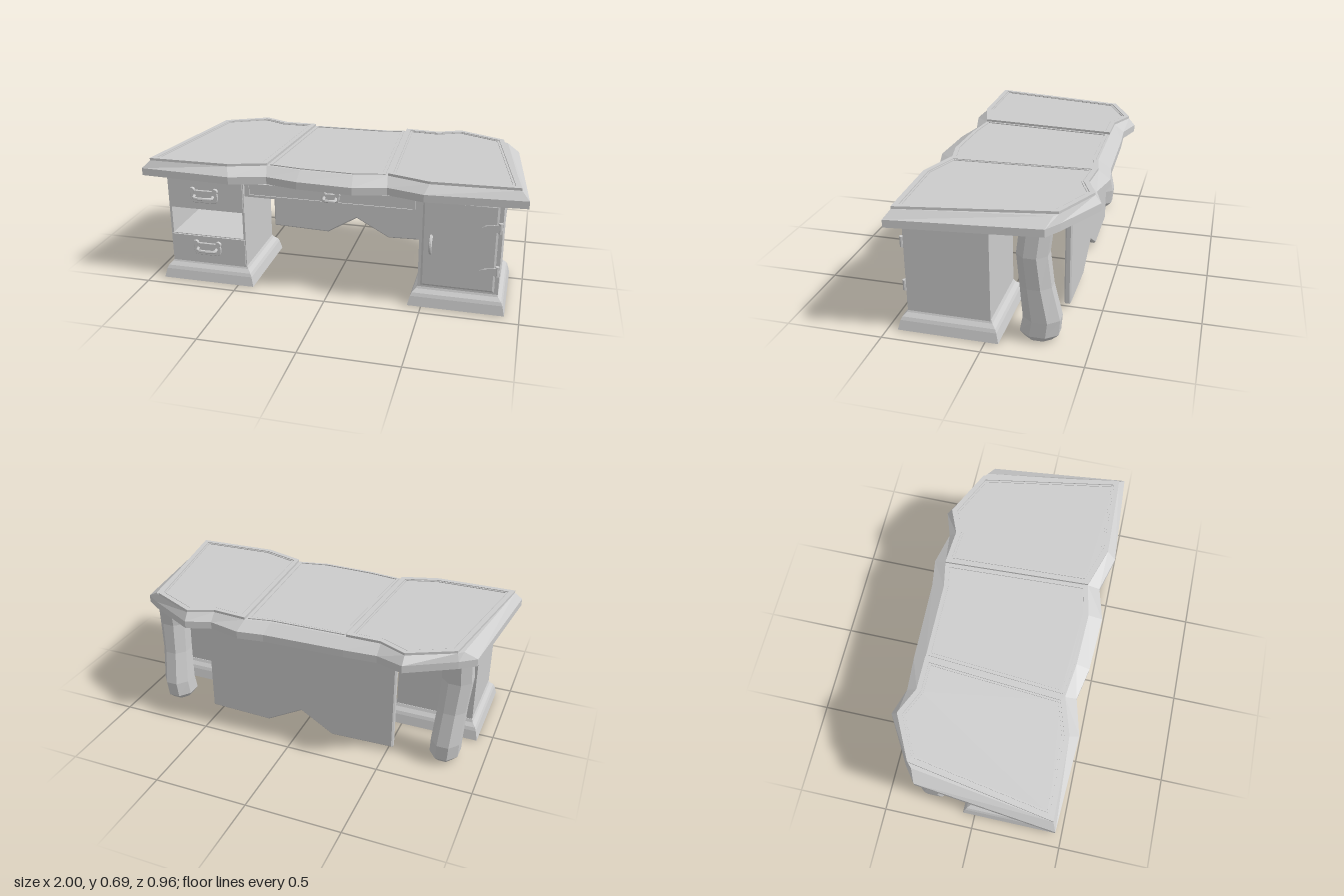
import * as THREE from 'three';

const material = new THREE.MeshStandardMaterial({ color: 0xcccccc, flatShading: true, side: THREE.DoubleSide });

function add(parent, name, geometry, x = 0, y = 0, z = 0) {
  const mesh = new THREE.Mesh(geometry, material);
  mesh.name = name;
  mesh.position.set(x, y, z);
  parent.add(mesh);
  return mesh;
}

// Box given by its limits
function block(parent, name, x0, x1, y0, y1, z0, z1) {
  return add(parent, name, new THREE.BoxGeometry(x1 - x0, y1 - y0, z1 - z0), (x0 + x1) / 2, (y0 + y1) / 2, (z0 + z1) / 2);
}

// Closed solid through horizontal rings, each { y, pts: [[x, z], ...] } counterclockwise from above
function loft(rings) {
  const pos = [];
  const put = (r, i) => { const p = r.pts[i % r.pts.length]; pos.push(p[0], r.y, p[1]); };
  for (let k = 0; k < rings.length - 1; k++) {
    const a = rings[k], b = rings[k + 1];
    for (let i = 0; i < a.pts.length; i++) {
      put(a, i); put(a, i + 1); put(b, i + 1);
      put(a, i); put(b, i + 1); put(b, i);
    }
  }
  const cap = (r, up) => {
    const contour = r.pts.map(p => new THREE.Vector2(p[0], -p[1]));
    for (const [a, b, c] of THREE.ShapeUtils.triangulateShape(contour, [])) {
      for (const i of up ? [a, b, c] : [a, c, b]) put(r, i);
    }
  };
  cap(rings[0], false);
  cap(rings[rings.length - 1], true);
  const g = new THREE.BufferGeometry();
  g.setAttribute('position', new THREE.Float32BufferAttribute(pos, 3));
  g.computeVertexNormals();
  return g;
}

const rect = (x0, x1, z0, z1, y) => ({ y, pts: [[x0, z1], [x1, z1], [x1, z0], [x0, z0]] });

// Move a plan outline inward by d
function inset(pts, d) {
  const n = pts.length, v = pts.map(p => new THREE.Vector2(p[0], -p[1]));
  const normal = i => {
    const e = v[(i + 1) % n].clone().sub(v[i]).normalize();
    return new THREE.Vector2(-e.y, e.x);
  };
  return v.map((p, i) => {
    const a = normal((i + n - 1) % n), b = normal(i);
    const q = p.clone().addScaledVector(a.clone().add(b), d / (1 + a.dot(b)));
    return [q.x, -q.y];
  });
}

// Flat horizontal piece from a plan outline, optionally with an opening
function slab(pts, hole, depth) {
  const toV = l => l.map(p => new THREE.Vector2(p[0], -p[1]));
  const shape = new THREE.Shape(toV(pts));
  if (hole) shape.holes.push(new THREE.Path(toV(hole)));
  return new THREE.ExtrudeGeometry(shape, { depth, bevelEnabled: false }).rotateX(-Math.PI / 2);
}

const tube = (pts, r, n = 14) =>
  new THREE.TubeGeometry(new THREE.CatmullRomCurve3(pts.map(p => new THREE.Vector3(...p))), n, r, 6, false);

// Eared pull: back plate with slot and a curved bail
function pull(parent, name, x, y, z, w, h, bailDrop) {
  const g = new THREE.Group();
  g.name = name;
  g.position.set(x, y, z);
  parent.add(g);
  const s = new THREE.Shape();
  s.moveTo(-w * 0.75, -h);
  s.lineTo(w * 0.75, -h);
  s.quadraticCurveTo(w, -h, w, 0);
  s.quadraticCurveTo(w, h * 0.7, w * 0.75, h * 0.7);
  s.lineTo(-w * 0.75, h * 0.7);
  s.quadraticCurveTo(-w, h * 0.7, -w, 0);
  s.quadraticCurveTo(-w, -h, -w * 0.75, -h);
  add(g, 'pullPlate', new THREE.ExtrudeGeometry(s, { depth: 0.006, bevelSize: 0.003, bevelThickness: 0.003, bevelSegments: 1, curveSegments: 4 }));
  for (const e of [-1, 1]) {
    add(g, 'pullEar', new THREE.CylinderGeometry(0.014, 0.016, 0.014, 10).rotateX(Math.PI / 2), e * w * 0.85, h * 0.75, 0.007);
  }
  const b = w * 0.68;
  add(g, 'pullBail', tube([[-b, 0, 0.005], [-b, bailDrop, 0.024], [-b * 0.7, bailDrop, 0.032], [b * 0.7, bailDrop, 0.032], [b, bailDrop, 0.024], [b, 0, 0.005]], 0.008));
}

function createPlinth(parent, x0, x1) {
  const steps = [[0, 0.005], [0.012, 0.055], [0.02, 0.072], [0.038, 0.09], [0.045, 0.105]];
  add(parent, 'plinth', loft(steps.map(([d, y]) => rect(x0 + d, x1 - d, -0.068 + d, 0.445 - d, y))));
}

export function createModel() {
  const desk = new THREE.Group();
  desk.name = 'desk';
  const group = name => { const g = new THREE.Group(); g.name = name; desk.add(g); return g; };

  // Table top: wavy outline, straight lip, then a bevel to the upper face
  const outer = [[-1, .445], [-.51, .47], [-.32, .42], [-.15, .455], [.14, .47], [.31, .425], [.5, .477], [1, .445],
    [.92, -.29], [.84, -.345], [.58, -.485], [.45, -.44], [.28, -.48], [.14, -.46], [-.29, -.45], [-.46, -.44],
    [-.6, -.485], [-.84, -.345], [-.92, -.285]];
  const upper = [[-.96, .425], [-.53, .42], [-.335, .36], [-.15, .385], [.13, .395], [.3, .36], [.52, .43], [.96, .415],
    [.855, -.315], [.83, -.335], [.58, -.455], [.45, -.4], [.265, -.415], [.13, -.39], [-.28, -.385], [-.46, -.385],
    [-.6, -.45], [-.83, -.335], [-.855, -.31]];
  const top = group('tableTop');
  add(top, 'topSlab', loft([{ y: 0.598, pts: outer }, { y: 0.637, pts: outer }, { y: 0.677, pts: upper }]));

  // Framed writing panels; the side ones stand higher than the middle one
  const sides = { leftSide: [5, 6, 7, 9, 10, 11, 12], rightSide: [0, 1, 2, 14, 15, 16, 17] };
  for (const [name, ids] of Object.entries(sides)) {
    const o = ids.map(i => upper[i]);
    add(top, name + 'Frame', slab(o, inset(o, 0.026), 0.014), 0, 0.676, 0);
    add(top, name + 'Bead', slab(inset(o, 0.03), inset(o, 0.038), 0.012), 0, 0.676, 0);
    add(top, name + 'Panel', slab(inset(o, 0.025), null, 0.008), 0, 0.676, 0);
  }
  const mid = inset([2, 3, 4, 5, 12, 13, 14].map(i => upper[i]), 0.012);
  add(top, 'middleBead', slab(mid, inset(mid, 0.012), 0.006), 0, 0.676, 0);
  add(top, 'middlePanel', slab(inset(mid, 0.018), null, 0.003), 0, 0.676, 0);

  // Drawer pedestal with an open shelf between two drawers
  const dp = group('drawerPedestal');
  createPlinth(dp, -0.925, -0.41);
  block(dp, 'sideWall', -0.88, -0.868, 0.1, 0.6, -0.02, 0.405);
  block(dp, 'sideWall', -0.467, -0.455, 0.1, 0.6, -0.02, 0.405);
  block(dp, 'backWall', -0.868, -0.467, 0.1, 0.6, -0.02, -0.008);
  for (const [y0, y1, py] of [[0.1, 0.265, 0.195], [0.415, 0.595, 0.5]]) {
    block(dp, 'drawer', -0.868, -0.467, y0, y1, -0.008, 0.404);
    block(dp, 'drawerFront', -0.876, -0.459, y0 + 0.004, y1 - 0.004, 0.4, 0.413);
    pull(dp, 'drawerPull', -0.672, py, 0.413, 0.075, 0.038, -0.008);
  }

  // Cupboard pedestal with a bevelled door
  const cp = group('cupboardPedestal');
  createPlinth(cp, 0.43, 0.925);
  block(cp, 'cupboardBody', 0.475, 0.885, 0.1, 0.6, -0.02, 0.402);
  const door = new THREE.Shape([[0.5, 0.125], [0.855, 0.125], [0.855, 0.578], [0.5, 0.578]].map(p => new THREE.Vector2(...p)));
  add(cp, 'door', new THREE.ExtrudeGeometry(door, { depth: 0.01, bevelSize: 0.01, bevelThickness: 0.006, bevelSegments: 1 }), 0, 0, 0.4);
  add(cp, 'doorHandle', tube([[0, 0.048, -0.005], [0, 0.04, 0.012], [0, 0.018, 0.03], [0, -0.018, 0.03], [0, -0.04, 0.012], [0, -0.048, -0.005]], 0.009), 0.537, 0.35, 0.416);
  for (const y of [0.235, 0.47]) {
    // Strap tapers away from the knuckle
    const strap = new THREE.Shape([[-0.085, 0], [-0.07, 0.01], [0, 0.022], [0, -0.022], [-0.07, -0.01]].map(p => new THREE.Vector2(...p)));
    add(cp, 'hingeStrap', new THREE.ExtrudeGeometry(strap, { depth: 0.01, bevelEnabled: false }), 0.87, y, 0.413);
    add(cp, 'hingeKnuckle', new THREE.CylinderGeometry(0.011, 0.011, 0.055, 8), 0.873, y, 0.413);
  }

  // Middle drawer with a framed front
  const md = group('middleDrawer');
  block(md, 'drawerBox', -0.455, 0.475, 0.505, 0.6, -0.06, 0.385);
  const shape = new THREE.Shape([[-0.44, 0.51], [0.45, 0.51], [0.45, 0.585], [-0.44, 0.585]].map(p => new THREE.Vector2(...p)));
  shape.holes.push(new THREE.Path([[-0.425, 0.522], [-0.425, 0.574], [0.435, 0.574], [0.435, 0.522]].map(p => new THREE.Vector2(...p))));
  add(md, 'drawerFrame', new THREE.ExtrudeGeometry(shape, { depth: 0.014, bevelEnabled: false }), 0, 0, 0.385);
  block(md, 'drawerFace', -0.43, 0.44, 0.518, 0.578, 0.38, 0.393);
  pull(md, 'middlePull', 0.012, 0.548, 0.395, 0.045, 0.024, -0.01);

  // Rear modesty panel with a notched lower edge
  const panel = new THREE.Shape([[-0.53, 0.04], [-0.19, 0.03], [-0.01, 0.14], [0.19, 0.03], [0.53, 0.04], [0.53, 0.6], [-0.53, 0.6]].map(p => new THREE.Vector2(...p)));
  add(desk, 'modestyPanel', new THREE.ExtrudeGeometry(panel, { depth: 0.02, bevelSize: 0.008, bevelOffset: -0.004, bevelThickness: 0.008, bevelSegments: 1 }), 0, 0, -0.332);

  // Curved octagonal back legs: y, x centre, x radius, z front, z back
  const legRings = [[0, .795, .05, -.175, -.305], [.035, .795, .075, -.148, -.34], [.12, .8, .075, -.165, -.348],
    [.3, .81, .072, -.152, -.308], [.47, .82, .077, -.14, -.29], [.6, .815, .075, -.155, -.305]];
  for (const side of [-1, 1]) {
    add(desk, side > 0 ? 'leftBackLeg' : 'rightBackLeg', loft(legRings.map(([y, cx, rx, zf, zb]) => ({
      y,
      pts: Array.from({ length: 8 }, (_, i) => {
        const a = (i + 0.5) * Math.PI / 4, k = 1 / Math.cos(Math.PI / 8);
        return [side * cx + rx * k * Math.cos(a), (zf + zb) / 2 - (zf - zb) / 2 * k * Math.sin(a)];
      }),
    }))));
  }
  return desk;
}
